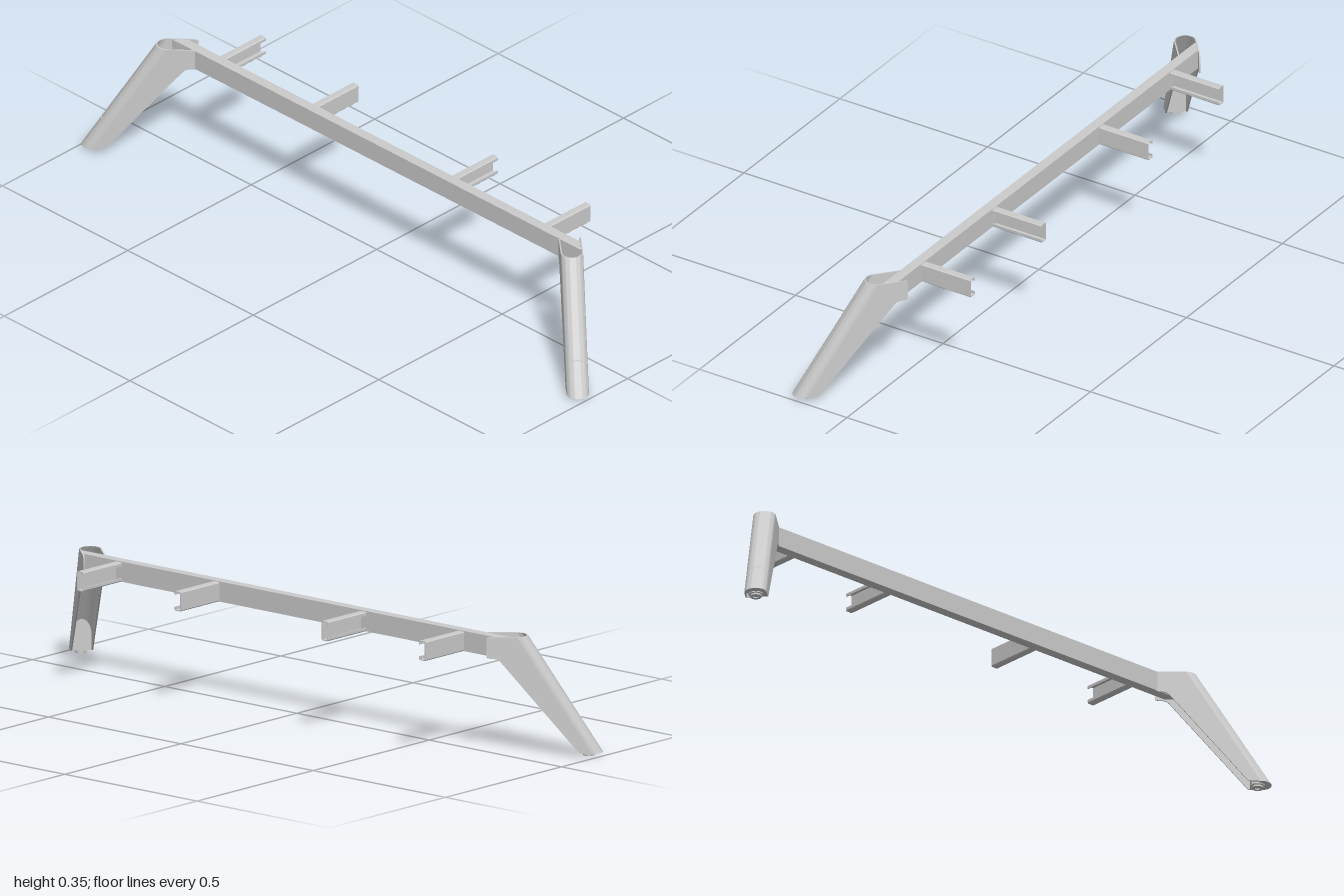
import * as THREE from 'three';
import { toCreasedNormals } from 'three/addons/utils/BufferGeometryUtils.js';

const TOP = 0.35, BASE = 0.01;         // height range of the legs
const R = 0.032, WALL = 0.004;         // rounded leg shell
const S_TOP = 0.627, S_BASE = 0.84;    // axis of the rounded edge along the leg's plane
const SLOPE = (S_BASE - S_TOP) / (TOP - BASE);

const material = new THREE.MeshStandardMaterial({ color: 0xcccccc, side: THREE.DoubleSide });

function part(parent, name, geometry) {
  const mesh = new THREE.Mesh(geometry, material);
  mesh.name = name;
  parent.add(mesh);
  return mesh;
}

function polygon(points) {
  return new THREE.Shape(points.map(([x, y]) => new THREE.Vector2(x, y)));
}

function extrude(shape, depth, curveSegments = 8) {
  return new THREE.ExtrudeGeometry(shape, { depth, curveSegments, bevelEnabled: false });
}

// Leg in its own plane: local x runs outward, y up, z across its width
function createLeg(name) {
  const leg = new THREE.Group();
  leg.name = name;

  // half-round outer edge, sheared so that it leans outward going down
  const ring = new THREE.Shape();
  ring.absarc(0, 0, R, -Math.PI / 2, Math.PI / 2, false);
  ring.absarc(0, 0, R - WALL, Math.PI / 2, -Math.PI / 2, true);
  const edge = extrude(ring, TOP - BASE, 24).rotateX(-Math.PI / 2);
  const p = edge.attributes.position;
  for (let i = 0; i < p.count; i++) {
    p.setX(i, p.getX(i) + S_BASE - SLOPE * p.getY(i));
    p.setY(i, p.getY(i) + BASE);
  }
  part(leg, 'roundedEdge', toCreasedNormals(edge, 0.6));

  // two flat cheeks that reach up to the beam
  const cheek = new THREE.Shape();
  cheek.moveTo(S_BASE, BASE);
  cheek.lineTo(S_TOP, TOP);
  cheek.lineTo(0.547, TOP);
  cheek.quadraticCurveTo(0.541, TOP, 0.541, TOP - 0.007);
  cheek.lineTo(0.541, 0.294);
  cheek.quadraticCurveTo(0.541, 0.288, 0.547, 0.288);
  cheek.lineTo(0.558, 0.287);
  cheek.quadraticCurveTo(0.571, 0.287, 0.579, 0.28);
  cheek.lineTo(0.8, 0.017);
  cheek.quadraticCurveTo(0.806, BASE, 0.813, BASE);
  for (const z of [-R, R - WALL]) {
    part(leg, 'cheek', toCreasedNormals(extrude(cheek, WALL), 0.6)).position.z = z;
  }

  // arched plate that closes the inner side just above the foot
  const inner = R - WALL / 2, wallX = 0.811;
  const arch = [[-inner, BASE]];
  for (let i = 0; i <= 16; i++) {
    const a = Math.PI * (1 - i / 16);
    arch.push([inner * Math.cos(a), TOP - (wallX - S_TOP - inner * Math.sin(a)) / SLOPE]);
  }
  arch.push([inner, BASE]);
  const plate = part(leg, 'innerPlate', extrude(polygon(arch), 0.003));
  plate.rotation.y = Math.PI / 2;
  plate.position.x = wallX;

  // sole plate and levelling foot
  const sole = new THREE.Shape();
  sole.moveTo(0.811, -inner);
  sole.absarc(S_BASE, 0, inner, -Math.PI / 2, Math.PI / 2, false);
  sole.lineTo(0.811, inner);
  part(leg, 'solePlate', extrude(sole, 0.003, 16).rotateX(-Math.PI / 2)).position.y = BASE;

  const footProfile = [[0, 0.004], [0.008, 0.004], [0.008, 0], [0.016, 0], [0.017, 0.001],
    [0.017, 0.006], [0.021, 0.007], [0.021, 0.011], [0, 0.011]]
    .map(([x, y]) => new THREE.Vector2(x, y));
  const foot = toCreasedNormals(new THREE.LatheGeometry(footProfile, 24), 0.6);
  part(leg, 'foot', foot).position.x = 0.832;
  return leg;
}

// Lipped C-channel along +x; its open side faces +z or -z
function createBracket(name, z, open) {
  const w = 0.012, h = 0.0285, t = 0.003, lip = 0.011, c = 0.003;
  const half = [[w, h - lip], [w, h - c], [w - c, h], [-w + c, h], [-w, h - c]];
  const inside = [[-w + t, h - t], [w - t, h - t], [w - t, h - lip]];
  const flip = (list) => list.map(([x, y]) => [x, -y]).reverse();
  const outline = [...half, ...flip(half), ...flip(inside), ...[...inside]];
  // profile x becomes model z; a half turn reverses the open side
  const geometry = extrude(polygon(outline), 0.168).translate(0, 0, -0.084);
  geometry.rotateY(open > 0 ? -Math.PI / 2 : Math.PI / 2);
  const bracket = new THREE.Mesh(geometry, material);
  bracket.name = name;
  bracket.position.set(0.113, 0.3185, z);
  return bracket;
}

export function createModel() {
  const model = new THREE.Group();
  model.name = 'benchFrame';

  // long beam with mitred ends
  const beam = polygon([[0, -0.815], [0.031, -0.78], [0.031, 0.78], [0, 0.815]]);
  const beamGeometry = extrude(beam, 0.059).rotateX(-Math.PI / 2);
  part(model, 'beam', beamGeometry).position.y = 0.29;

  // seat brackets, facing each other's backs in pairs
  for (const [z, open] of [[0.647, -1], [0.278, 1], [-0.278, -1], [-0.647, 1]]) {
    model.add(createBracket('seatBracket', z, open));
  }

  // splayed legs, each set on its own diagonal plane
  const angle = Math.atan2(0.755, -0.656), offset = 0.507;
  for (const side of [1, -1]) {
    const leg = createLeg(side > 0 ? 'frontLeg' : 'backLeg');
    leg.rotation.y = -side * angle;
    leg.position.set(0.755 * offset, 0, side * 0.656 * offset);
    model.add(leg);
  }
  return model;
}
